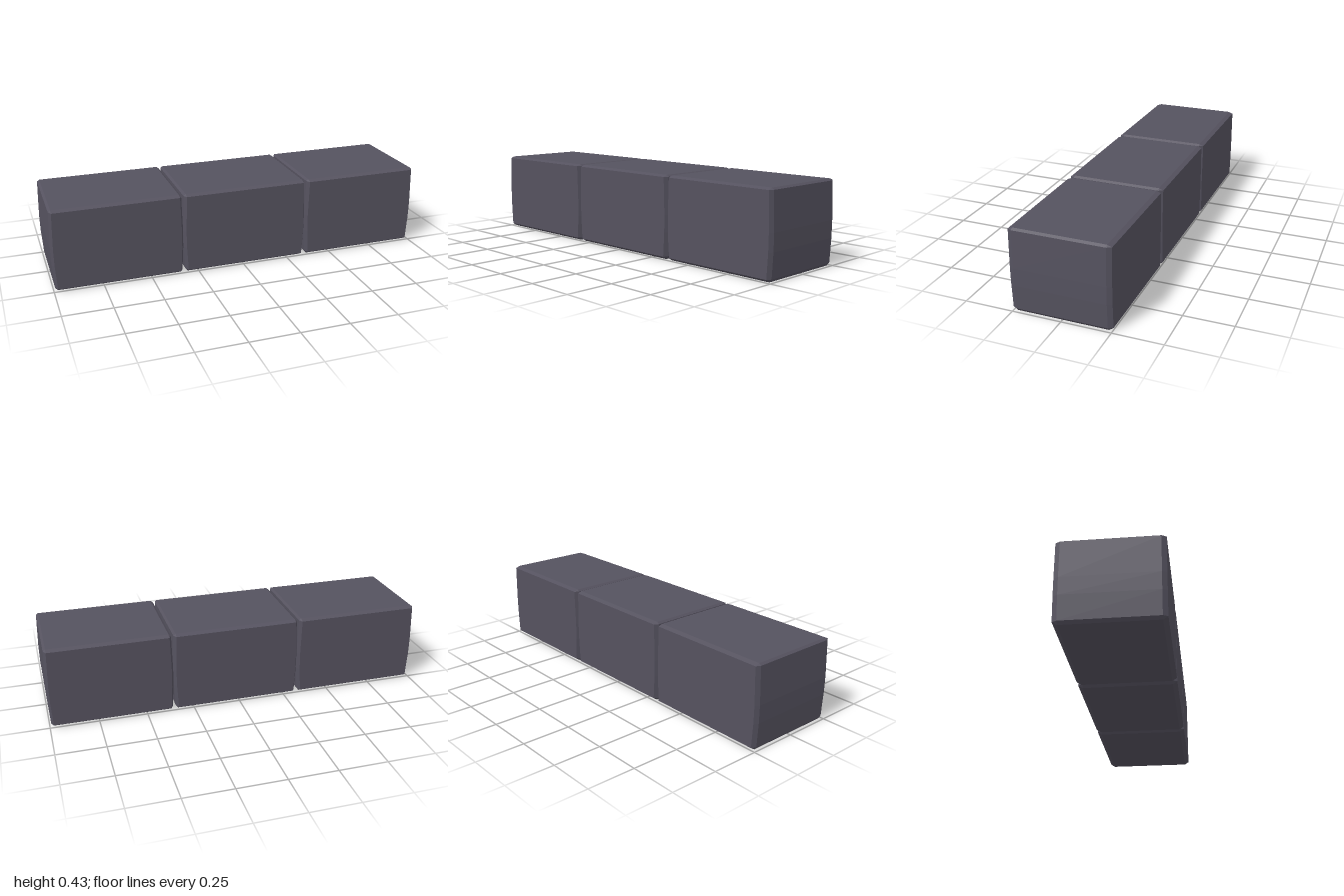
import * as THREE from 'three';

const HALF_DEPTH = 0.253, FLAT_DEPTH = 0.23, BEVEL = 0.012;

// Rings from the base up: height, and how far the end faces sit inside the block's full length
const RINGS = [[0, 0.008], [0.015, 0.008], [0.14, 0.001], [0.23, 0], [0.421, 0.006], [0.43, 0.006]];

// One bevelled block between x0 and x1, with slightly bulging end faces
function blockGeometry(x0, x1) {
  const rings = RINGS.map(([y, inset], i) => {
    const cap = i === 0 || i === RINGS.length - 1;
    const a = x0 + inset, b = x1 - inset;
    const e = cap ? BEVEL : 0;              // caps shrink to the flat top or bottom
    const d = cap ? FLAT_DEPTH : HALF_DEPTH;
    return [
      [b - BEVEL, d], [b - e, FLAT_DEPTH], [b - e, -FLAT_DEPTH], [b - BEVEL, -d],
      [a + BEVEL, -d], [a + e, -FLAT_DEPTH], [a + e, FLAT_DEPTH], [a + BEVEL, d],
    ].map(([x, z]) => new THREE.Vector3(x, y, z));
  });
  const points = [];
  const face = (p, q, r) => {
    const area = q.clone().sub(p).cross(r.clone().sub(p)).length();
    if (area > 1e-7) points.push(p, q, r);
  };
  // Side bands
  for (let i = 0; i < rings.length - 1; i++) {
    for (let k = 0; k < 8; k++) {
      const n = (k + 1) % 8, lo = rings[i], hi = rings[i + 1];
      face(lo[k], lo[n], hi[n]);
      face(lo[k], hi[n], hi[k]);
    }
  }
  // Flat top and bottom
  const bottom = rings[0], top = rings[rings.length - 1];
  for (let k = 1; k < 7; k++) {
    face(top[0], top[k], top[k + 1]);
    face(bottom[0], bottom[k + 1], bottom[k]);
  }
  const geometry = new THREE.BufferGeometry().setFromPoints(points);
  geometry.computeVertexNormals();
  return geometry;
}

export function createModel() {
  const group = new THREE.Group();
  group.name = 'blockRow';
  const material = new THREE.MeshStandardMaterial({ color: 0x55525f, flatShading: true });

  // Three blocks end to end
  const seams = [-1, -0.325, 0.353, 1];
  ['rightBlock', 'middleBlock', 'leftBlock'].forEach((name, i) => {
    const block = new THREE.Mesh(blockGeometry(seams[i], seams[i + 1]), material);
    block.name = name;
    group.add(block);
  });
  return group;
}
